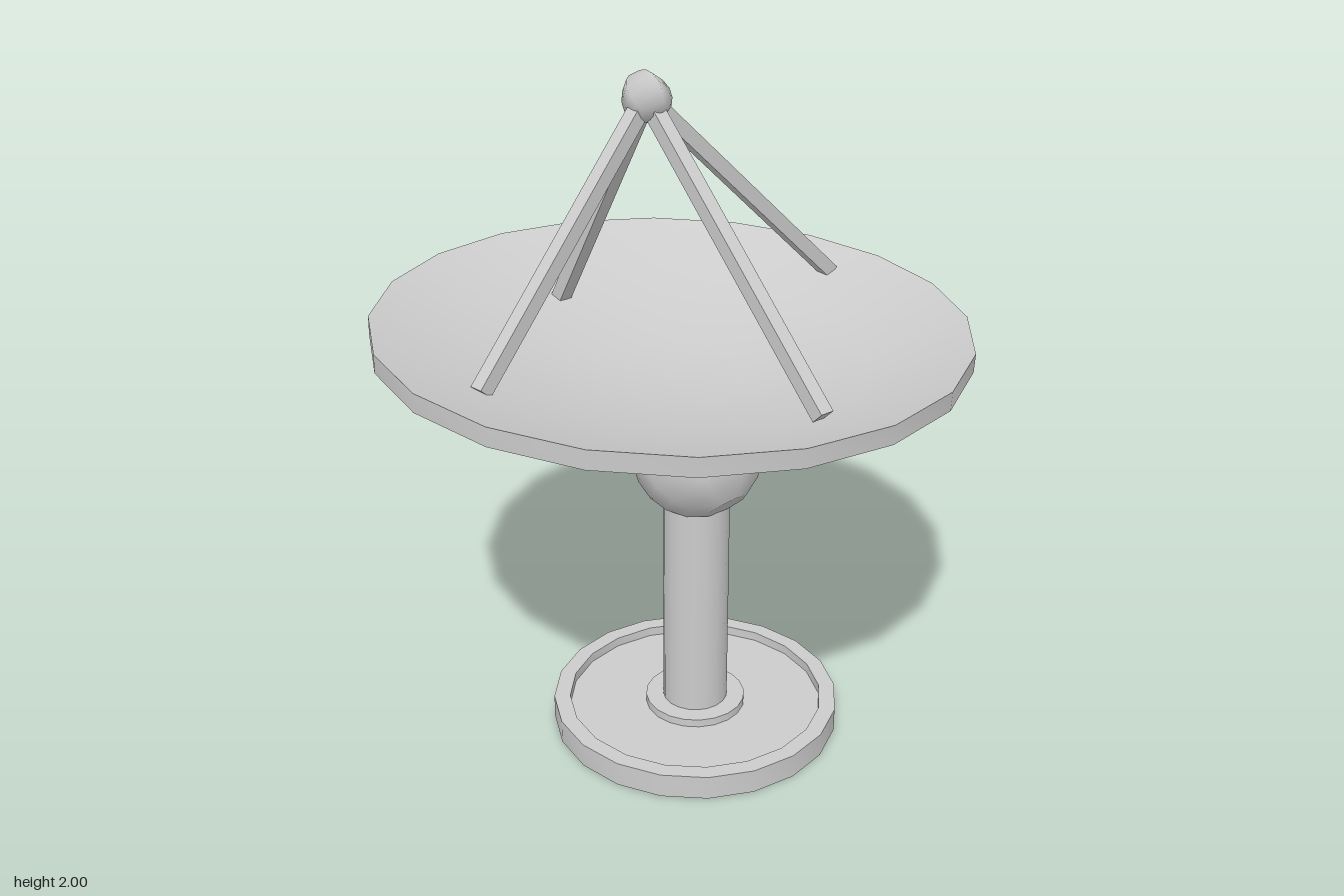
import * as THREE from 'three';
import { toCreasedNormals } from 'three/addons/utils/BufferGeometryUtils.js';

const material = new THREE.MeshStandardMaterial({ color: 0xcccccc });
const doubleSided = new THREE.MeshStandardMaterial({ color: 0xcccccc, side: THREE.DoubleSide });
const V2 = (p) => new THREE.Vector2(p[0], p[1]);
const PEDESTAL_Z = 0.115;

function add(parent, name, geometry, mat = material) {
  const mesh = new THREE.Mesh(geometry, mat);
  mesh.name = name;
  parent.add(mesh);
  return mesh;
}

// Turned solid with sharp profile corners and smooth sides
function turned(points, sides) {
  return toCreasedNormals(new THREE.LatheGeometry(points.map(V2), sides), 0.6);
}

// Few-sided ball, starting at a polar angle so that one pole can be cut flat
function ballGeometry(radius, sides, rings, start) {
  const points = [];
  for (let i = 0; i <= rings; i++) {
    const a = start + (Math.PI - start) * (i / rings);
    points.push([radius * Math.sin(a), -radius * Math.cos(a)]);
  }
  return new THREE.LatheGeometry(points.map(V2), sides);
}

export function createModel() {
  const model = new THREE.Group();
  model.name = 'dishAntenna';

  // Pedestal: rimmed base with a collar, and a hollow post
  const base = add(model, 'base', turned([
    [0.1, 0.005], [0.155, 0.005], [0.155, 0.025], [0.395, 0.025], [0.395, 0], [0.445, 0],
    [0.445, 0.075], [0.395, 0.075], [0.395, 0.045], [0.155, 0.045], [0.155, 0.07], [0.1, 0.07],
  ], 20));
  base.position.z = PEDESTAL_Z;

  const post = add(model, 'post',
    new THREE.CylinderGeometry(0.1, 0.1, 0.8, 16, 1, true), doubleSided);
  post.position.set(0, 0.405, PEDESTAL_Z);

  // Swivel ball, its axis leaning back, with a flat cut facing forward and down
  const swivel = new THREE.Group();
  swivel.name = 'swivel';
  swivel.position.set(0, 0.92, PEDESTAL_Z);
  swivel.rotation.x = -Math.PI / 4;
  model.add(swivel);
  const cut = Math.asin(0.065 / 0.2);
  add(swivel, 'swivelBall', ballGeometry(0.2, 8, 9, cut));
  const cap = add(swivel, 'swivelCap', new THREE.CircleGeometry(0.065, 8));
  cap.rotation.x = Math.PI / 2;
  cap.position.y = -0.2 * Math.cos(cut);

  // Dish: shallow bowl with a straight rim, tipped slightly forward
  const dish = add(model, 'dish', turned([
    [0, -0.187], [0.22, -0.185], [0.59, -0.103], [0.87, 0],
    [0.87, 0.056], [0.59, -0.047], [0.22, -0.12], [0, -0.122],
  ], 20));
  dish.position.y = 1.25;
  dish.rotation.x = 0.049;

  // Receiver ball above the dish
  const hub = new THREE.Vector3(0, 1.925, -0.11);
  const receiver = add(model, 'receiver', ballGeometry(0.075, 5, 8, 0));
  receiver.position.copy(hub);
  receiver.rotation.x = -Math.PI / 4;

  // Four struts from the bowl up to the receiver
  const feet = {
    frontStrut: [0, 1.2, 0.62],
    backStrut: [0, 1.19, -0.56],
    leftStrut: [0.74, 1.26, -0.09],
    rightStrut: [-0.625, 1.22, -0.06],
  };
  for (const [name, foot] of Object.entries(feet)) {
    const end = new THREE.Vector3(...foot);
    const strut = add(model, name, new THREE.BoxGeometry(0.044, 0.044, end.distanceTo(hub)));
    strut.position.lerpVectors(end, hub, 0.5);
    strut.lookAt(hub);
  }
  return model;
}
